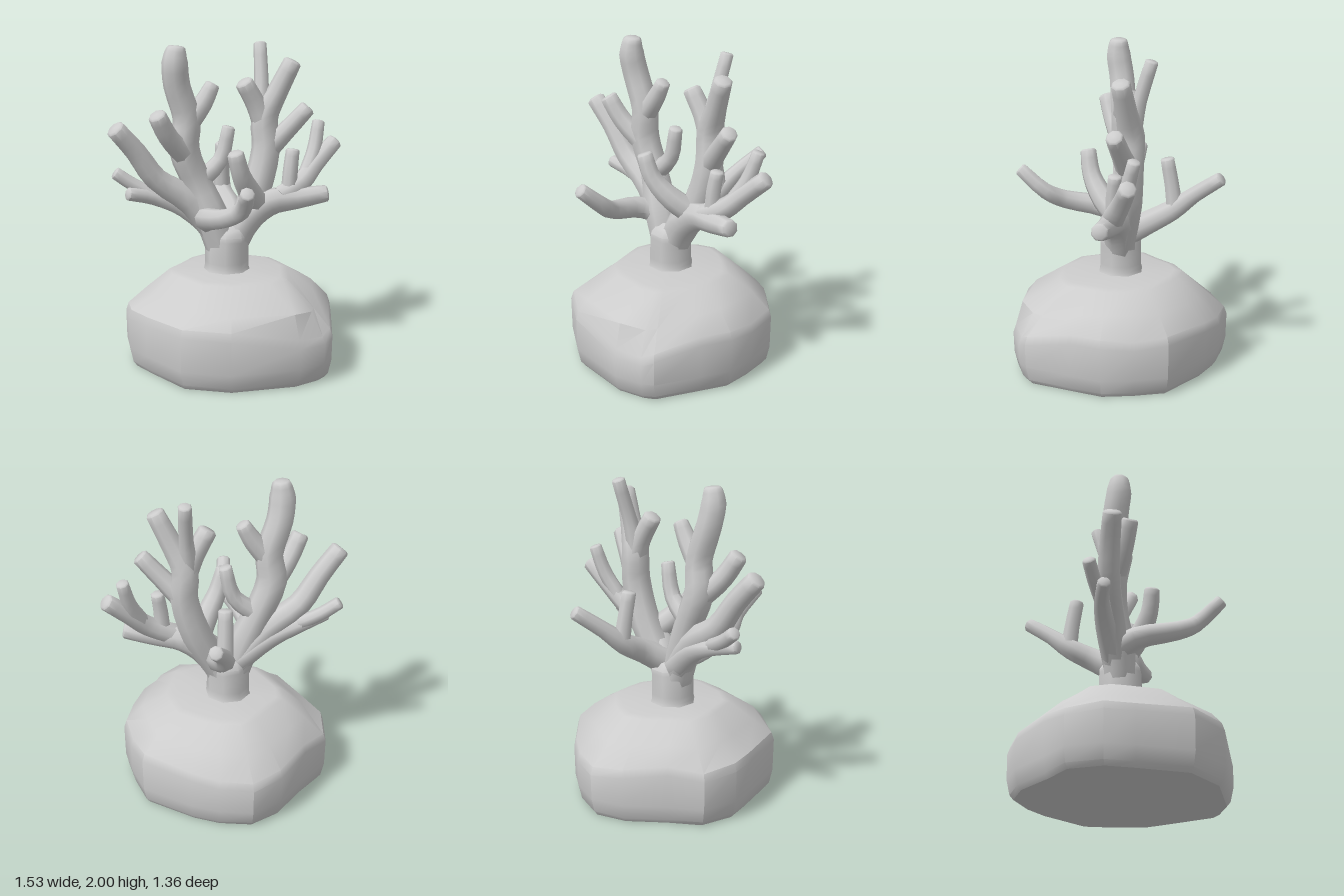
import * as THREE from 'three';
import { toCreasedNormals } from 'three/addons/utils/BufferGeometryUtils.js';

const SIDES = 8;

// Skin over rings of points (counterclockwise about the direction of travel), closed at both ends
function loft(rings, crease) {
  const n = rings[0].length;
  const points = rings.flat();
  const index = [];
  for (let i = 0; i < rings.length - 1; i++) {
    for (let j = 0; j < n; j++) {
      const a = i * n + j;
      const b = i * n + ((j + 1) % n);
      index.push(a, b, b + n, a, b + n, a + n);
    }
  }
  for (const i of [0, rings.length - 1]) {
    const centre = new THREE.Vector3();
    rings[i].forEach((p) => centre.addScaledVector(p, 1 / n));
    const c = points.push(centre) - 1;
    for (let j = 0; j < n; j++) {
      const a = i * n + j;
      const b = i * n + ((j + 1) % n);
      if (i === 0) index.push(c, b, a);
      else index.push(c, a, b);
    }
  }
  const geo = new THREE.BufferGeometry().setFromPoints(points);
  geo.setIndex(index);
  return toCreasedNormals(geo, crease);
}

// Tapered limb through [x, y, z, radius] stations, with a bevelled blunt tip
function limbGeometry(stations) {
  const curve = new THREE.CatmullRomCurve3(
    stations.map(([x, y, z]) => new THREE.Vector3(x, y, z)), false, 'centripetal');
  const spans = stations.length - 1;
  const steps = spans * 3;
  const frames = [];
  for (let i = 0; i <= steps; i++) {
    const t = i / steps;
    const k = Math.min(Math.floor(t * spans), spans - 1);
    const r = THREE.MathUtils.lerp(stations[k][3], stations[k + 1][3], t * spans - k);
    frames.push({ p: curve.getPoint(t), d: curve.getTangent(t), r });
  }
  const end = frames[steps];
  frames.push({ p: end.p.clone(), d: end.d, r: end.r * 0.78 });
  end.p.addScaledVector(end.d, -end.r * 0.2);

  const u = new THREE.Vector3(0.31, 0.12, 0.94);
  const v = new THREE.Vector3();
  const rings = frames.map(({ p, d, r }) => {
    u.addScaledVector(d, -u.dot(d)).normalize();
    v.crossVectors(d, u);
    return Array.from({ length: SIDES }, (_, j) => {
      const a = (j / SIDES) * Math.PI * 2;
      return p.clone().addScaledVector(u, Math.cos(a) * r).addScaledVector(v, Math.sin(a) * r);
    });
  });
  return loft(rings, 0.85);
}

// Boulder columns: outline x, z, height of the widest edge, then scale and height of the shoulder
const ROCK = [
  [0, -0.68, 0.31, 0.78, 0.45], [-0.2, -0.61, 0.33, 0.78, 0.46], [-0.41, -0.43, 0.36, 0.8, 0.47],
  [-0.59, -0.3, 0.33, 0.79, 0.46], [-0.645, -0.08, 0.35, 0.77, 0.46], [-0.6, 0.1, 0.35, 0.78, 0.46],
  [-0.5, 0.43, 0.36, 0.8, 0.46], [-0.25, 0.61, 0.36, 0.88, 0.45], [0.17, 0.68, 0.28, 0.91, 0.45],
  [0.35, 0.64, 0.27, 0.86, 0.43], [0.42, 0.6, 0.3, 0.82, 0.43], [0.55, 0.33, 0.36, 0.82, 0.47],
  [0.635, 0.15, 0.36, 0.81, 0.49], [0.63, -0.05, 0.34, 0.81, 0.49], [0.6, -0.26, 0.36, 0.81, 0.48],
  [0.35, -0.51, 0.34, 0.79, 0.46], [0.2, -0.61, 0.32, 0.78, 0.46],
];

function rockGeometry() {
  const ring = (shape) => ROCK.map(([x, z, ...column]) => {
    const [scale, y] = shape(...column);
    return new THREE.Vector3(x * scale, y, z * scale);
  });
  return loft([
    ring(() => [0.93, 0]),
    ring(() => [0.965, 0.03]),
    ring(() => [0.995, 0.12]),
    ring((edge) => [1, edge - 0.03]),
    ring((edge) => [0.975, edge + 0.02]),
    ring((edge, scale, y) => [scale, y]),
    ring(() => [0.57, 0.58]),
    ring(() => [0.5, 0.59]),
  ], 0.6);
}

const LIMBS = {
  trunk: [[-0.02, 0.56, 0, 0.155], [-0.02, 0.61, 0, 0.138], [-0.02, 0.72, 0, 0.137], [-0.015, 0.81, 0, 0.135], [-0.015, 0.88, 0, 0.09]],

  // Tall stem and its shoots
  tallStem: [[-0.05, 0.72, 0, 0.1], [-0.12, 0.94, -0.01, 0.108], [-0.2, 1.15, -0.04, 0.09], [-0.285, 1.37, -0.04, 0.095],
    [-0.27, 1.55, -0.03, 0.085], [-0.335, 1.76, -0.02, 0.082], [-0.355, 1.9, 0, 0.08], [-0.345, 2.0, 0, 0.056]],
  tallStemInnerShoot: [[-0.28, 1.5, -0.03, 0.07], [-0.17, 1.64, -0.02, 0.06], [-0.1, 1.76, -0.02, 0.046]],
  tallStemOuterShoot: [[-0.28, 1.33, -0.03, 0.075], [-0.41, 1.46, 0.03, 0.062], [-0.5, 1.61, 0.07, 0.056]],
  tallStemLowShoot: [[-0.2, 1.15, -0.04, 0.065], [-0.05, 1.28, -0.03, 0.05], [0.005, 1.49, -0.02, 0.042]],
  outerStem: [[-0.05, 0.78, -0.01, 0.09], [-0.25, 1.04, -0.05, 0.09], [-0.46, 1.19, -0.06, 0.074], [-0.59, 1.37, -0.05, 0.066], [-0.73, 1.53, -0.03, 0.06]],
  lowStem: [[-0.06, 0.82, -0.02, 0.085], [-0.28, 1.0, -0.08, 0.068], [-0.47, 1.07, -0.1, 0.048], [-0.64, 1.11, -0.08, 0.04]],
  lowStemShoot: [[-0.45, 1.08, -0.1, 0.045], [-0.58, 1.15, -0.14, 0.042], [-0.69, 1.23, -0.17, 0.04]],
  frontStem: [[-0.12, 0.9, -0.02, 0.08], [-0.2, 0.95, 0.1, 0.07], [-0.175, 1.01, 0.35, 0.058], [-0.125, 1.08, 0.47, 0.052], [-0.16, 1.22, 0.63, 0.044]],

  // Spreading stem and its shoots
  spreadStem: [[0.0, 0.72, 0, 0.1], [0.1, 0.9, 0.01, 0.105], [0.25, 1.0, 0.04, 0.088], [0.42, 1.02, 0.09, 0.068], [0.61, 1.05, 0.15, 0.053]],
  spreadStemLongShoot: [[0.32, 1.03, 0.06, 0.07], [0.47, 1.11, 0.05, 0.065], [0.58, 1.21, 0.02, 0.058], [0.74, 1.35, -0.01, 0.053]],
  spreadStemHighShoot: [[0.52, 1.17, 0.03, 0.05], [0.59, 1.3, -0.01, 0.046], [0.64, 1.48, -0.05, 0.04]],
  spreadStemShortShoot: [[0.38, 1.06, 0.06, 0.05], [0.39, 1.2, 0.06, 0.047], [0.41, 1.33, 0.05, 0.043]],
  upperStem: [[0.04, 0.78, 0, 0.09], [0.19, 1.06, -0.03, 0.095], [0.265, 1.33, -0.04, 0.09], [0.26, 1.52, -0.05, 0.085], [0.33, 1.68, -0.02, 0.066], [0.42, 1.88, 0.02, 0.057]],
  upperStemInnerShoot: [[0.26, 1.48, -0.05, 0.075], [0.2, 1.61, -0.05, 0.063], [0.11, 1.76, -0.04, 0.057]],
  upperStemBackShoot: [[0.24, 1.55, -0.06, 0.06], [0.26, 1.74, -0.1, 0.045], [0.28, 1.98, -0.17, 0.041]],
  upperStemOuterShoot: [[0.26, 1.31, -0.04, 0.075], [0.38, 1.44, 0.01, 0.06], [0.51, 1.59, 0.06, 0.052]],
  middleShoot: [[0.17, 1.0, 0.02, 0.08], [0.09, 1.09, 0.11, 0.073], [0.0, 1.22, 0.18, 0.058], [-0.05, 1.37, 0.2, 0.05]],
  backStem: [[0.03, 0.84, -0.01, 0.09], [0.08, 0.93, -0.16, 0.075], [0.085, 1.01, -0.31, 0.066], [0.13, 1.12, -0.44, 0.05], [0.215, 1.25, -0.6, 0.044]],
  backStemShoot: [[0.09, 1.01, -0.33, 0.055], [0.08, 1.17, -0.31, 0.048], [0.07, 1.34, -0.28, 0.045]],
};

export function createModel() {
  const stone = new THREE.MeshStandardMaterial({ color: 0xcccccc });
  stone.name = 'pale grey';
  const model = new THREE.Group();
  model.name = 'branchingCoral';

  const rock = new THREE.Mesh(rockGeometry(), stone);
  rock.name = 'rock';
  model.add(rock);

  const coral = new THREE.Group();
  coral.name = 'coral';
  for (const [name, stations] of Object.entries(LIMBS)) {
    const limb = new THREE.Mesh(limbGeometry(stations), stone);
    limb.name = name;
    coral.add(limb);
  }
  model.add(coral);
  return model;
}
